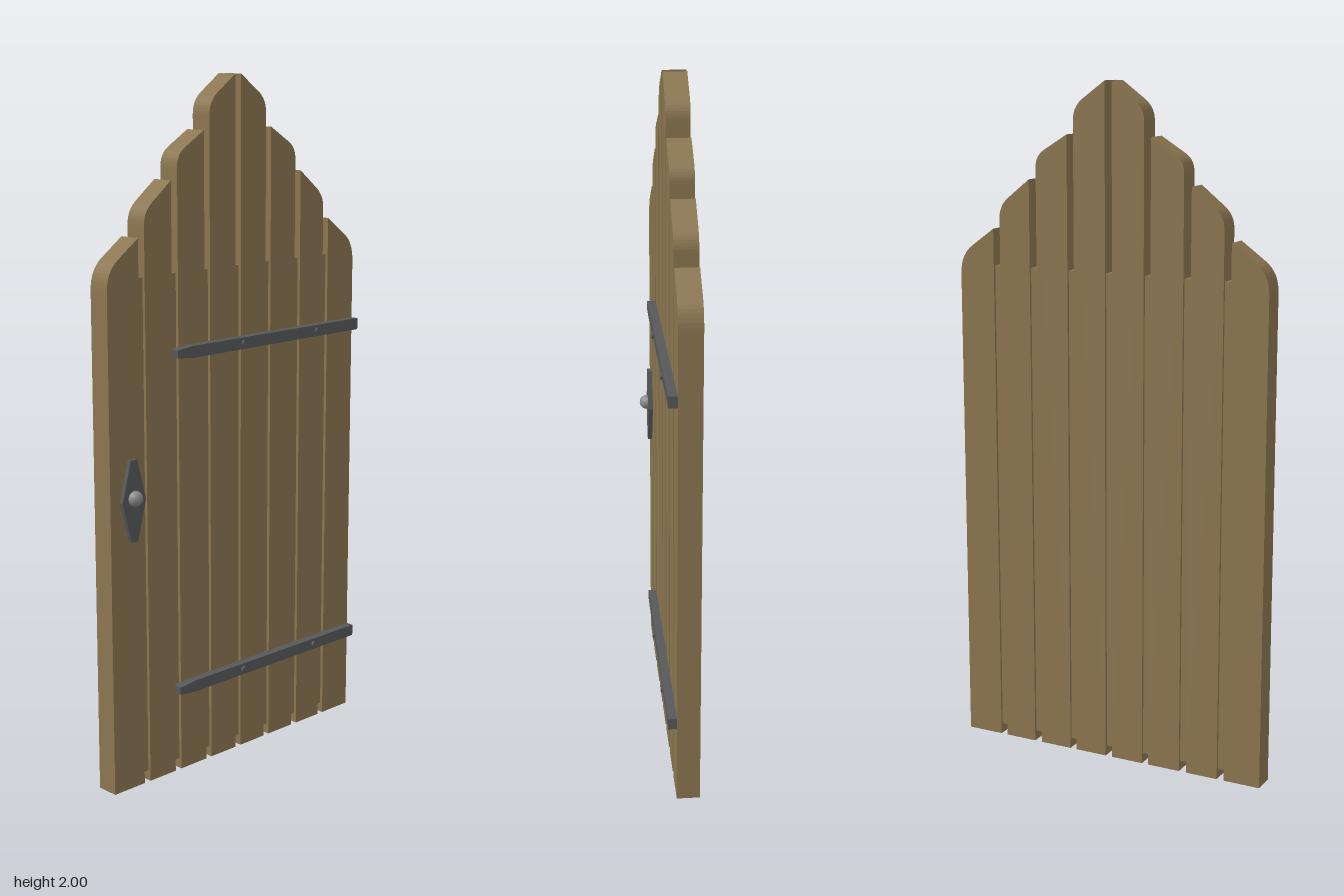
import * as THREE from 'three';

const wood = new THREE.MeshStandardMaterial({ color: 0x8b7650 });
const iron = new THREE.MeshStandardMaterial({ color: 0x56585a });
const steel = new THREE.MeshStandardMaterial({ color: 0x8a8a8a });

function add(parent, name, geometry, material, x = 0, y = 0, z = 0) {
  const mesh = new THREE.Mesh(geometry, material);
  mesh.name = name;
  mesh.position.set(x, y, z);
  parent.add(mesh);
  return mesh;
}

const extrude = (shape, depth) =>
  new THREE.ExtrudeGeometry(shape, { depth, bevelEnabled: false, curveSegments: 8 });

// Plank with a sloping top that rounds over into its outer edge
function plankShape(side, inner, outer, top, bendX, bendY, shoulder) {
  const s = new THREE.Shape();
  s.moveTo(side * inner, 0);
  s.lineTo(side * outer, 0);
  s.lineTo(side * outer, shoulder);
  const slope = (top - bendY) / (bendX - inner);
  s.quadraticCurveTo(side * outer, bendY - slope * (outer - bendX), side * bendX, bendY);
  s.lineTo(side * inner, top);
  s.closePath();
  return s;
}

// Hinge strap with a tapered free end, and its two rivets
function hinge(y) {
  const g = new THREE.Group();
  g.name = 'hinge';
  g.position.y = y;
  const h = 0.017;
  const s = new THREE.Shape([
    [0.488, -h], [0.488, h], [-0.2, h], [-0.257, 0.011], [-0.257, -0.011], [-0.2, -h],
  ].map(([px, py]) => new THREE.Vector2(px, py)));
  add(g, 'hingeStrap', extrude(s, 0.029), iron, 0, 0, 0.008);
  for (const x of [-0.001, 0.306]) {
    const rivet = new THREE.CylinderGeometry(0.009, 0.009, 0.018, 12).rotateX(Math.PI / 2);
    add(g, 'rivet', rivet, iron, x, 0, 0.034);
  }
  return g;
}

export function createModel() {
  const door = new THREE.Group();
  door.name = 'door';

  // Planks, mirrored about the middle: inner, outer, top, bend x, bend y, shoulder
  const planks = [
    [0.011, 0.111, 2.0, 0.08, 1.95, 1.89],
    [0.132, 0.233, 1.85, 0.205, 1.805, 1.755],
    [0.256, 0.355, 1.72, 0.325, 1.665, 1.605],
    [0.377, 0.489, 1.573, 0.45, 1.52, 1.435],
  ];
  for (const side of [-1, 1]) {
    for (const p of planks) {
      add(door, 'plank', extrude(plankShape(side, ...p), 0.067), wood, 0, 0, -0.055);
    }
  }

  // Backing board seen in the gaps
  add(door, 'backingBoard', new THREE.BoxGeometry(0.9, 1.435, 0.05), wood, 0, 0.7475, -0.022);

  // Hinges
  door.add(hinge(1.244), hinge(0.255));

  // Handle plate and knob
  const handle = new THREE.Group();
  handle.name = 'handle';
  handle.position.set(-0.413, 0.852, 0);
  const plate = new THREE.Shape([
    [-0.012, -0.117], [0.012, -0.117], [0.042, 0], [0.012, 0.117], [-0.012, 0.117], [-0.042, 0],
  ].map(([x, y]) => new THREE.Vector2(x, y)));
  add(handle, 'handlePlate', extrude(plate, 0.02), iron, 0, 0, 0.005);
  add(handle, 'knob', new THREE.SphereGeometry(0.022, 24, 16), steel, 0, 0.008, 0.028);
  door.add(handle);

  return door;
}
